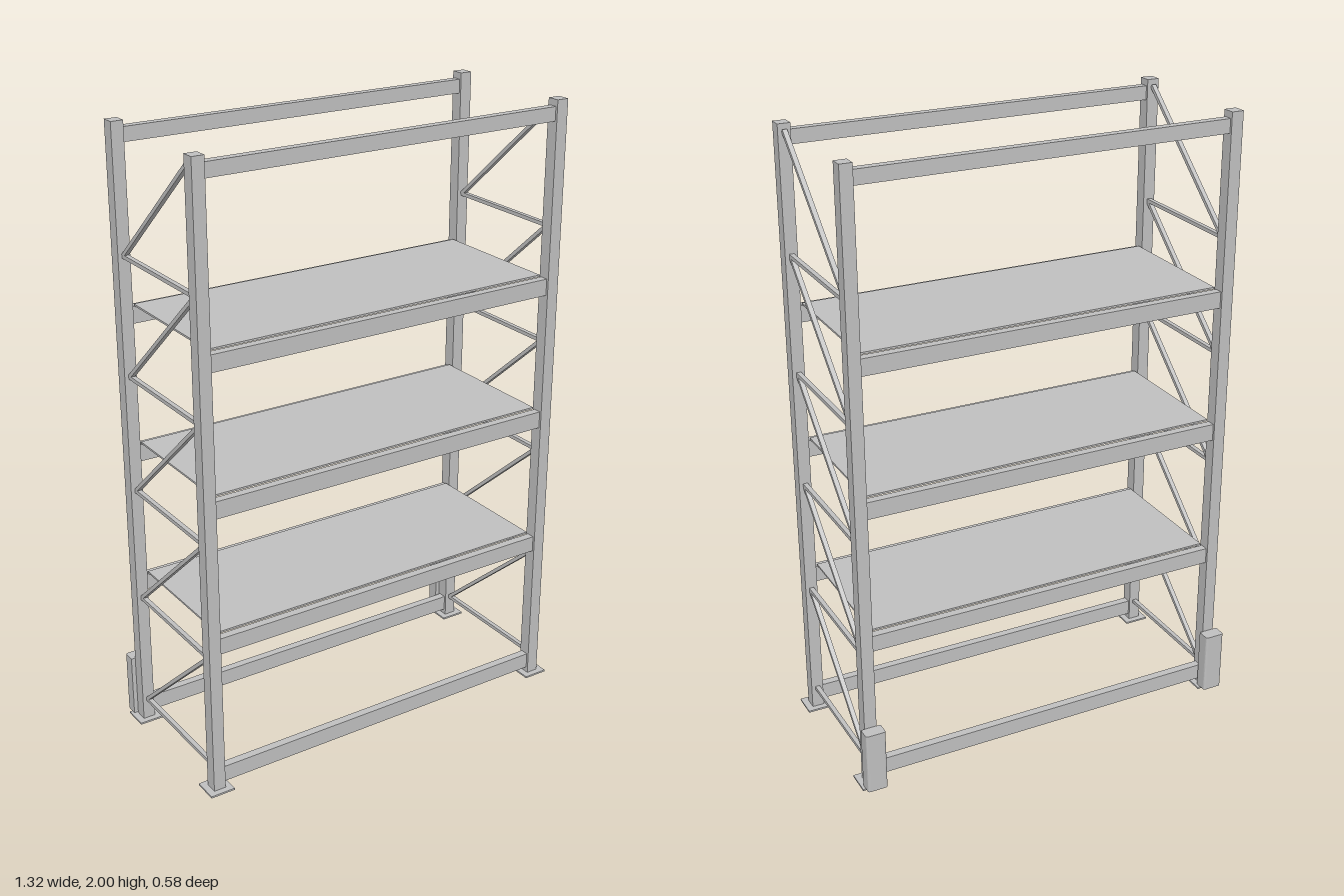
import * as THREE from 'three';

export function createModel() {
  const rack = new THREE.Group();
  rack.name = 'shelvingRack';
  const steel = new THREE.MeshStandardMaterial({ color: 0xc0c0c0 });
  steel.name = 'galvanised steel';

  const postX = 0.62, frontZ = 0.252, backZ = -0.224, midZ = (frontZ + backZ) / 2;

  function box(name, w, h, d, x, y, z) {
    const mesh = new THREE.Mesh(new THREE.BoxGeometry(w, h, d), steel);
    mesh.name = name;
    mesh.position.set(x, y, z);
    rack.add(mesh);
    return mesh;
  }

  // Bar in a side frame between two (z, y) points
  function brace(name, x, z0, y0, z1, y1) {
    const bar = box(name, 0.015, 0.012, Math.hypot(z1 - z0, y1 - y0), x, (y0 + y1) / 2, (z0 + z1) / 2);
    bar.rotation.x = -Math.atan2(y1 - y0, z1 - z0);
  }

  // Rear bumper outline, rounded on the outer corners
  const hw = 0.033, depth = 0.043, r = 0.008;
  const outline = new THREE.Shape();
  outline.moveTo(-hw, 0);
  outline.lineTo(hw, 0);
  outline.lineTo(hw, depth - r);
  outline.quadraticCurveTo(hw, depth, hw - r, depth);
  outline.lineTo(-hw + r, depth);
  outline.quadraticCurveTo(-hw, depth, -hw, depth - r);
  const bumperGeometry = new THREE.ExtrudeGeometry(outline, { depth: 0.207, bevelEnabled: false, curveSegments: 4 });
  bumperGeometry.rotateX(-Math.PI / 2);

  for (const side of [-1, 1]) {
    const x = side * postX;

    // Uprights on foot plates
    for (const z of [frontZ, backZ]) {
      box('upright', 0.04, 2, 0.042, x, 1, z);
      box('footPlate', 0.082, 0.006, 0.082, x, 0.003, z);
    }

    // Rear bumper
    const bumper = new THREE.Mesh(bumperGeometry, steel);
    bumper.name = 'rearBumper';
    bumper.position.set(x, 0.008, backZ - 0.023);
    rack.add(bumper);

    // Zigzag bracing of the side frame
    const zb = backZ + 0.022, zf = frontZ - 0.022;
    for (let i = 0; i < 5; i++) {
      const y = 0.077 + i * 0.381;
      brace('horizontalBrace', x, zb, y, zf, y);
      brace('diagonalBrace', x, zb, y, zf, y + 0.378);
    }
  }

  // Long beams, front and back: [bottom, top]
  const levels = [[0.024, 0.077], [0.479, 0.532], [0.93, 0.986], [1.383, 1.437], [1.934, 1.979]];
  for (const [y0, y1] of levels)
    for (const z of [frontZ, backZ])
      box('beam', 2 * postX - 0.038, y1 - y0, 0.027, 0, (y0 + y1) / 2, z);

  // Three shelf panels, just above the middle beams
  for (const top of [0.541, 0.995, 1.445])
    box('shelf', 1.186, 0.006, frontZ - backZ - 0.024, 0, top - 0.003, midZ);

  return rack;
}
